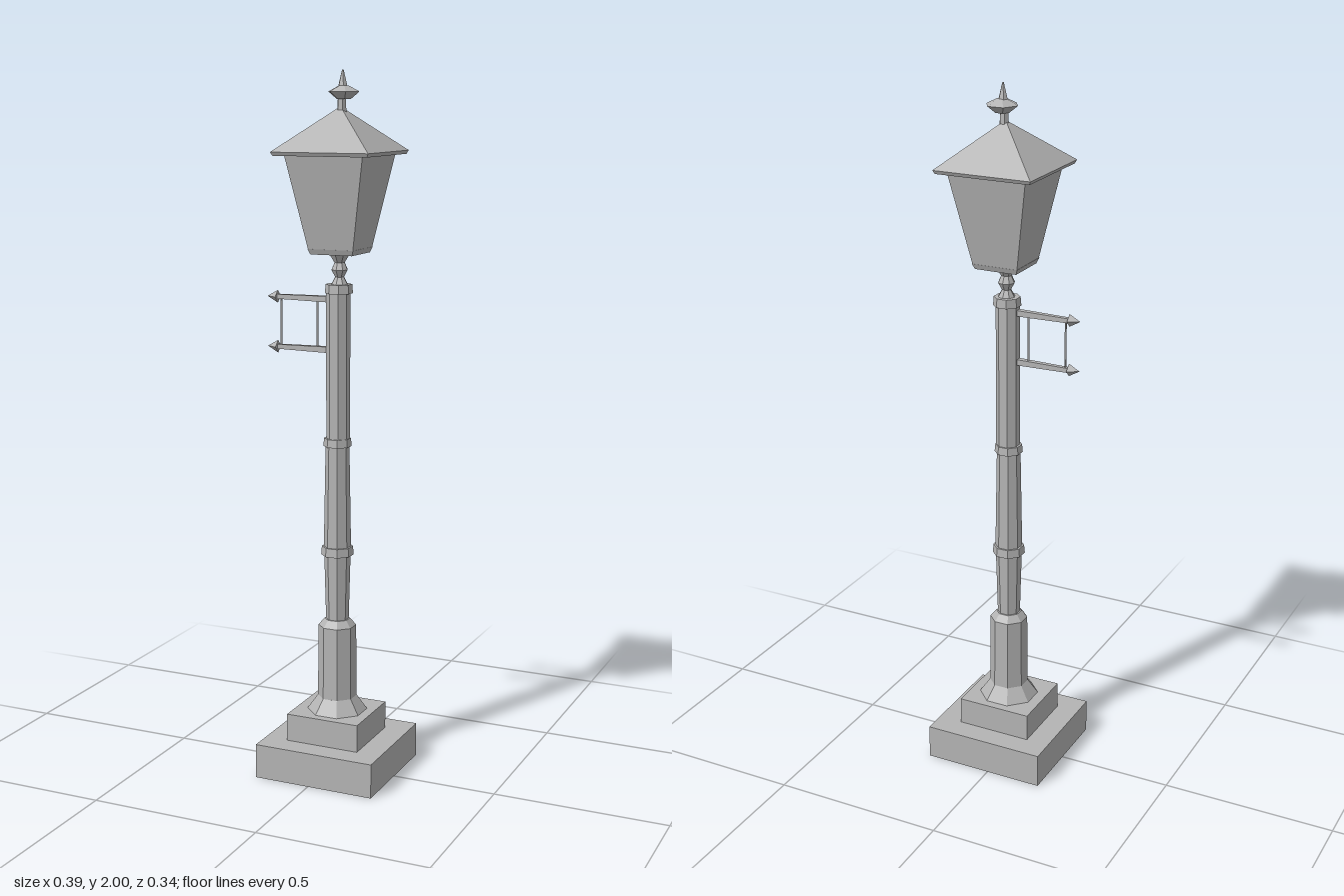
import * as THREE from 'three';

export function createModel() {
  const model = new THREE.Group();
  const iron = new THREE.MeshStandardMaterial({ color: 0xb4b4b4, flatShading: true });
  iron.name = 'grey iron';

  function add(name, geometry, x, y, z) {
    const mesh = new THREE.Mesh(geometry, iron);
    mesh.name = name;
    mesh.position.set(x, y, z);
    model.add(mesh);
    return mesh;
  }

  // Upright prism from y0 to y1; radii are measured to the flats
  function prism(name, sides, y0, y1, r0, r1, x = 0.015, z = 0) {
    const k = 1 / Math.cos(Math.PI / sides);
    const g = new THREE.CylinderGeometry(r1 * k, r0 * k, y1 - y0, sides);
    g.rotateY(Math.PI / sides);
    return add(name, g, x, (y0 + y1) / 2, z);
  }

  // Stepped plinth
  add('plinth', new THREE.BoxGeometry(0.36, 0.1, 0.344), 0.015, 0.05, 0);
  add('plinthStep', new THREE.BoxGeometry(0.22, 0.08, 0.21), 0.013, 0.14, 0);

  // Octagonal post, narrowing in stages with small collars
  prism('postFoot', 8, 0.18, 0.222, 0.08, 0.052);
  prism('lowerPost', 8, 0.22, 0.435, 0.052, 0.05);
  prism('lowerPostCap', 8, 0.435, 0.455, 0.05, 0.034);
  prism('shaftBottom', 8, 0.45, 0.655, 0.03, 0.035);
  prism('shaftCollar', 8, 0.645, 0.67, 0.043, 0.041);
  prism('shaftMiddle', 8, 0.66, 0.97, 0.036, 0.031);
  prism('shaftCollar', 8, 0.962, 0.985, 0.037, 0.035);
  prism('shaftTop', 8, 0.98, 1.405, 0.031, 0.031, 0.017);
  prism('shaftCap', 8, 1.395, 1.42, 0.036, 0.034, 0.019);

  // Turned neck under the lantern
  const neck = [[0.024, 0], [0.013, 0.02], [0.024, 0.04], [0.015, 0.06], [0.034, 0.09]]
    .map(([r, y]) => new THREE.Vector2(r, y));
  add('neck', new THREE.LatheGeometry(neck, 8), 0.021, 1.42, 0);

  // Tapered lantern with a bottom rim and overhanging hipped roof
  const lx = 0.023;
  prism('lanternRim', 4, 1.505, 1.52, 0.062, 0.068, lx);
  prism('lanternBody', 4, 1.52, 1.775, 0.067, 0.115, lx);
  prism('lanternEave', 4, 1.773, 1.783, 0.138, 0.143, lx);
  prism('lanternRoof', 4, 1.783, 1.9, 0.143, 0.003, lx);

  // Finial: stem, faceted disc and leaning spike
  prism('finialStem', 6, 1.885, 1.93, 0.012, 0.01, 0.027);
  prism('finialDiscLower', 6, 1.922, 1.942, 0.018, 0.04, 0.033);
  prism('finialDiscUpper', 6, 1.942, 1.958, 0.04, 0.012, 0.033);
  prism('finialSpike', 6, 1.955, 2.0, 0.012, 0.002, 0.03);

  // Side bracket: two pointed arms joined by thin rods
  for (const y of [1.377, 1.235]) {
    const arm = new THREE.CylinderGeometry(0.009, 0.012, 0.165, 4);
    arm.rotateY(Math.PI / 4);
    arm.rotateZ(Math.PI / 2);
    add('bracketArm', arm, -0.0875, y, 0.003);
    const tip = new THREE.ConeGeometry(0.018, 0.032, 4);
    tip.rotateZ(Math.PI / 2);
    add('bracketTip', tip, -0.183, y, 0.005);
  }
  for (const x of [-0.157, -0.045]) {
    add('bracketRod', new THREE.BoxGeometry(0.004, 0.14, 0.004), x, 1.306, 0.003);
  }

  return model;
}
